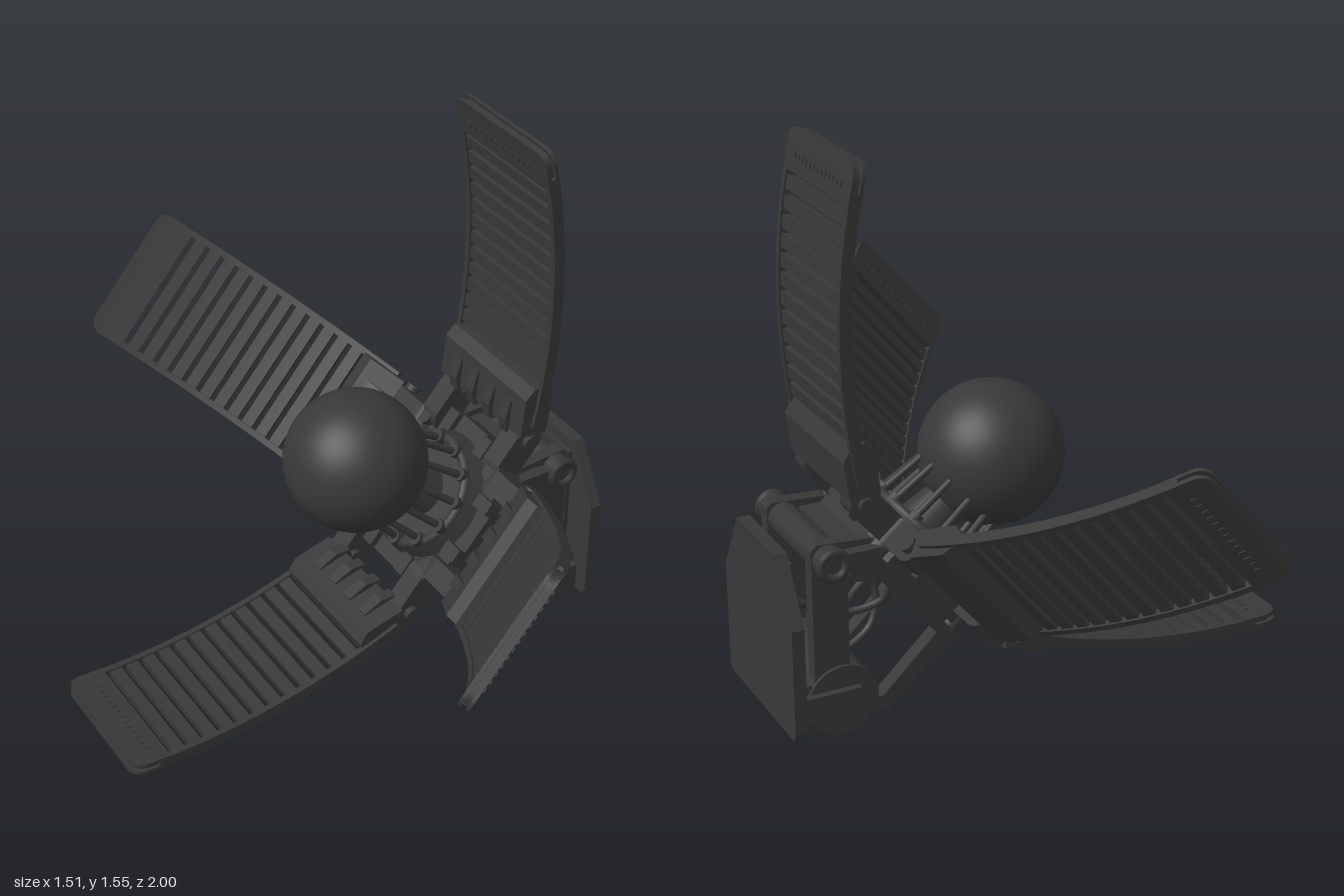
import * as THREE from 'three';
import { mergeGeometries } from 'three/addons/utils/BufferGeometryUtils.js';

const material = new THREE.MeshStandardMaterial({ color: 0x383838 });

function add(parent, name, geometry, x = 0, y = 0, z = 0) {
  const mesh = new THREE.Mesh(geometry, material);
  mesh.name = name;
  mesh.position.set(x, y, z);
  parent.add(mesh);
  return mesh;
}

const box = (w, h, d, x = 0, y = 0, z = 0, seg = 1) =>
  new THREE.BoxGeometry(w, h, d, 1, seg, 1).translate(x, y, z);

// Cylinder lying along z
const zCylinder = (r, length, sides = 32) =>
  new THREE.CylinderGeometry(r, r, length, sides).rotateX(Math.PI / 2);

// Extrudes a closed outline, centred in depth
function slab(points, depth) {
  const shape = new THREE.Shape(points.map(([x, y]) => new THREE.Vector2(x, y)));
  return new THREE.ExtrudeGeometry(shape, { depth, bevelEnabled: false }).translate(0, 0, -depth / 2);
}

// Bends flat geometry (x across, y along, z thickness) onto the petal's arc
const R = 1.834, START = 0.482, R0 = 0.343, H0 = 0.027, LENGTH = 0.858;
function bend(geometry) {
  const p = geometry.attributes.position;
  for (let i = 0; i < p.count; i++) {
    const across = p.getX(i), n = p.getZ(i), a = START + p.getY(i) / R;
    p.setXYZ(i,
      R0 + R * (Math.sin(a) - Math.sin(START)) - n * Math.sin(a),
      H0 + R * (Math.cos(START) - Math.cos(a)) + n * Math.cos(a),
      across);
  }
  geometry.computeVertexNormals();
  return geometry;
}

// Slotted grille: side rails, root plate and evenly spaced slats
function grilleGeometry() {
  const parts = [-1, 1].map(s => box(0.018, 0.78, 0.032, s * 0.197, 0.39, 0, 20));
  parts.push(box(0.38, 0.115, 0.024, 0, 0.0575, 0, 3));
  for (let i = 1; i < 13; i++) {
    parts.push(box(0.38, 0.035, 0.022, 0, 0.115 + i * 0.0512 - 0.0175, 0));
  }
  return bend(mergeGeometries(parts));
}

// Tip: two thin rounded plates around a core
function tipGeometry() {
  const layer = (w, end, depth, z) => {
    const c = 0.045, s = new THREE.Shape();
    s.moveTo(-w, 0.747);
    s.lineTo(w, 0.747);
    s.lineTo(w, end - c);
    s.quadraticCurveTo(w, end, w - c, end);
    s.lineTo(-w + c, end);
    s.quadraticCurveTo(-w, end, -w, end - c);
    return new THREE.ExtrudeGeometry(s, { depth, bevelEnabled: false, curveSegments: 8 })
      .translate(0, 0, z - depth / 2);
  };
  return bend(mergeGeometries([
    layer(0.206, LENGTH, 0.01, 0.012), layer(0.206, LENGTH, 0.01, -0.012),
    layer(0.196, LENGTH - 0.01, 0.016, 0)]));
}

function tipTeethGeometry() {
  const parts = [];
  for (let i = 0; i < 13; i++) parts.push(box(0.012, 0.016, 0.04, (i - 6) * 0.024, 0.79, 0));
  return bend(mergeGeometries(parts));
}

// Bracket clamped on the petal's root, with ribs on its inner side
function bracketGeometry() {
  const block = slab([[-0.03, -0.04], [0.08, -0.045], [0.12, -0.018], [0.12, 0.018],
    [0.09, 0.045], [-0.03, 0.045]], 0.39);
  const ribs = [-0.12, -0.04, 0.04, 0.12].map(z =>
    slab([[-0.045, 0.02], [0.06, 0.02], [0.06, 0.05], [0, 0.062], [-0.045, 0.05]], 0.035)
      .translate(0, 0, z));
  return mergeGeometries([block, ...ribs]);
}

// Capsule-shaped hinge link lying along x
function linkGeometry() {
  const s = new THREE.Shape();
  s.absarc(0.295, 0, 0.043, -Math.PI / 2, Math.PI / 2);
  s.absarc(0.19, 0, 0.043, Math.PI / 2, Math.PI * 1.5);
  return new THREE.ExtrudeGeometry(s, { depth: 0.065, bevelEnabled: false }).translate(0, 0, -0.0325);
}

function createHead() {
  const head = new THREE.Group();
  head.name = 'head';

  // Four petals around the head's axis
  const grille = grilleGeometry(), tip = tipGeometry(), teeth = tipTeethGeometry();
  const bracket = bracketGeometry(), link = linkGeometry();
  for (let k = 0; k < 4; k++) {
    const petal = new THREE.Group();
    petal.name = 'petal';
    petal.rotation.y = k * Math.PI / 2;
    add(petal, 'petalGrille', grille);
    add(petal, 'petalTip', tip);
    add(petal, 'tipTeeth', teeth);
    add(petal, 'petalBracket', bracket, R0, H0, 0).rotation.z = START + 0.12;
    for (const s of [-1, 1]) {
      add(petal, 'hingeLink', link, 0, 0, s * 0.15);
      add(petal, 'hingePin', zCylinder(0.022, 0.1, 16), 0.295, 0, s * 0.15);
      add(petal, 'hubLug', box(0.06, 0.07, 0.04), 0.2, -0.005, s * 0.08);
    }
    add(petal, 'hubBlock', box(0.035, 0.06, 0.12), 0.215, -0.02, 0);
    head.add(petal);
  }

  // Hub body with chamfered corners
  const a = 0.205, c = 0.14;
  const outline = [[a, -c], [a, c], [c, a], [-c, a], [-a, c], [-a, -c], [-c, -a], [c, -a]];
  add(head, 'hubBody', slab(outline, 0.08).rotateX(-Math.PI / 2), 0, -0.03, 0);
  add(head, 'hubBackPlate', box(0.34, 0.05, 0.36), 0, -0.09, 0);
  add(head, 'hubRing', new THREE.CylinderGeometry(0.175, 0.19, 0.045, 40), 0, 0.03, 0);
  add(head, 'hubRim', new THREE.TorusGeometry(0.16, 0.015, 10, 40).rotateX(Math.PI / 2), 0, 0.055, 0);
  add(head, 'sphereStem', new THREE.CylinderGeometry(0.06, 0.08, 0.13, 24), 0, 0.11, 0);
  for (let i = 0; i < 4; i++) {
    const t = Math.PI / 4 + i * Math.PI / 2;
    add(head, 'cornerBolt', new THREE.CylinderGeometry(0.03, 0.03, 0.12, 16),
      0.235 * Math.cos(t), -0.02, 0.235 * Math.sin(t));
  }

  // Prongs leaning in to the sphere
  for (let i = 0; i < 12; i++) {
    const holder = new THREE.Group();
    holder.name = 'prong';
    holder.rotation.y = (i + 0.5) * Math.PI / 6;
    add(holder, 'prongRod', new THREE.CylinderGeometry(0.009, 0.012, 0.2, 10), 0.145, 0.12, 0).rotation.z = 0.12;
    add(holder, 'prongFoot', new THREE.CylinderGeometry(0.02, 0.02, 0.04, 12), 0.155, 0.06, 0);
    head.add(holder);
  }
  add(head, 'sphere', new THREE.SphereGeometry(0.2, 48, 32), 0, 0.34, 0);

  head.position.set(0.33, 0.42, 0);
  head.rotation.z = THREE.MathUtils.degToRad(50);
  return head;
}

function createMount() {
  const mount = new THREE.Group();
  mount.name = 'mount';

  // Wall plate with a chamfered top
  const plate = slab([[-0.22, 0.04], [0.22, 0.04], [0.233, 0.06], [0.233, 0.36], [0.13, 0.535],
    [-0.13, 0.535], [-0.233, 0.36], [-0.233, 0.06]], 0.035).rotateY(Math.PI / 2);
  add(mount, 'wallPlate', plate, 0.737, 0, 0);
  add(mount, 'plateBacking', box(0.02, 0.44, 0.26), 0.715, 0.28, 0);
  add(mount, 'plateFoot', box(0.05, 0.1, 0.34), 0.705, 0.11, 0);

  // Lower swivel drum
  add(mount, 'swivelDrum', zCylinder(0.1, 0.36), 0.595, 0.1, 0);
  add(mount, 'swivelBlock', box(0.16, 0.075, 0.4), 0.63, 0.1, 0);

  // Upper pivot tube
  add(mount, 'pivotTube', zCylinder(0.042, 0.42), 0.625, 0.51, 0);
  add(mount, 'pivotCrossbar', box(0.09, 0.06, 0.41), 0.535, 0.5, 0);

  // Paired side frames and diagonal struts
  const frame = slab([[0.42, 0.42], [0.57, 0.43], [0.57, 0.16], [0.67, 0.16], [0.67, 0.54],
    [0.655, 0.555], [0.5, 0.545]], 0.04);
  const strut = slab([[0.24, 0.24], [0.46, 0.04], [0.56, 0.04], [0.56, 0.08], [0.48, 0.08],
    [0.3, 0.25]], 0.045);
  for (const s of [-1, 1]) {
    add(mount, 'sideFrame', frame, 0, 0, s * 0.15);
    add(mount, 'strut', strut, 0, 0, s * 0.15);
    add(mount, 'pivotCollar', new THREE.TorusGeometry(0.036, 0.012, 8, 28), 0.625, 0.51, s * 0.21);
  }

  // Loose cables between head and mount
  const cables = [
    [[0.42, 0.4, 0.08], [0.45, 0.34, 0.1], [0.38, 0.26, 0.1], [0.4, 0.16, 0.08], [0.52, 0.09, 0.06]],
    [[0.38, 0.36, -0.04], [0.4, 0.27, 0], [0.5, 0.24, 0.03], [0.6, 0.29, 0.02], [0.72, 0.35, 0]],
    [[0.45, 0.43, -0.1], [0.52, 0.37, -0.1], [0.56, 0.28, -0.08], [0.57, 0.16, -0.06]],
  ];
  for (const points of cables) {
    const path = new THREE.CatmullRomCurve3(points.map(p => new THREE.Vector3(...p)));
    add(mount, 'cable', new THREE.TubeGeometry(path, 40, 0.011, 10));
  }
  return mount;
}

export function createModel() {
  const model = new THREE.Group();
  model.name = 'petalDevice';
  model.add(createHead(), createMount());
  return model;
}
